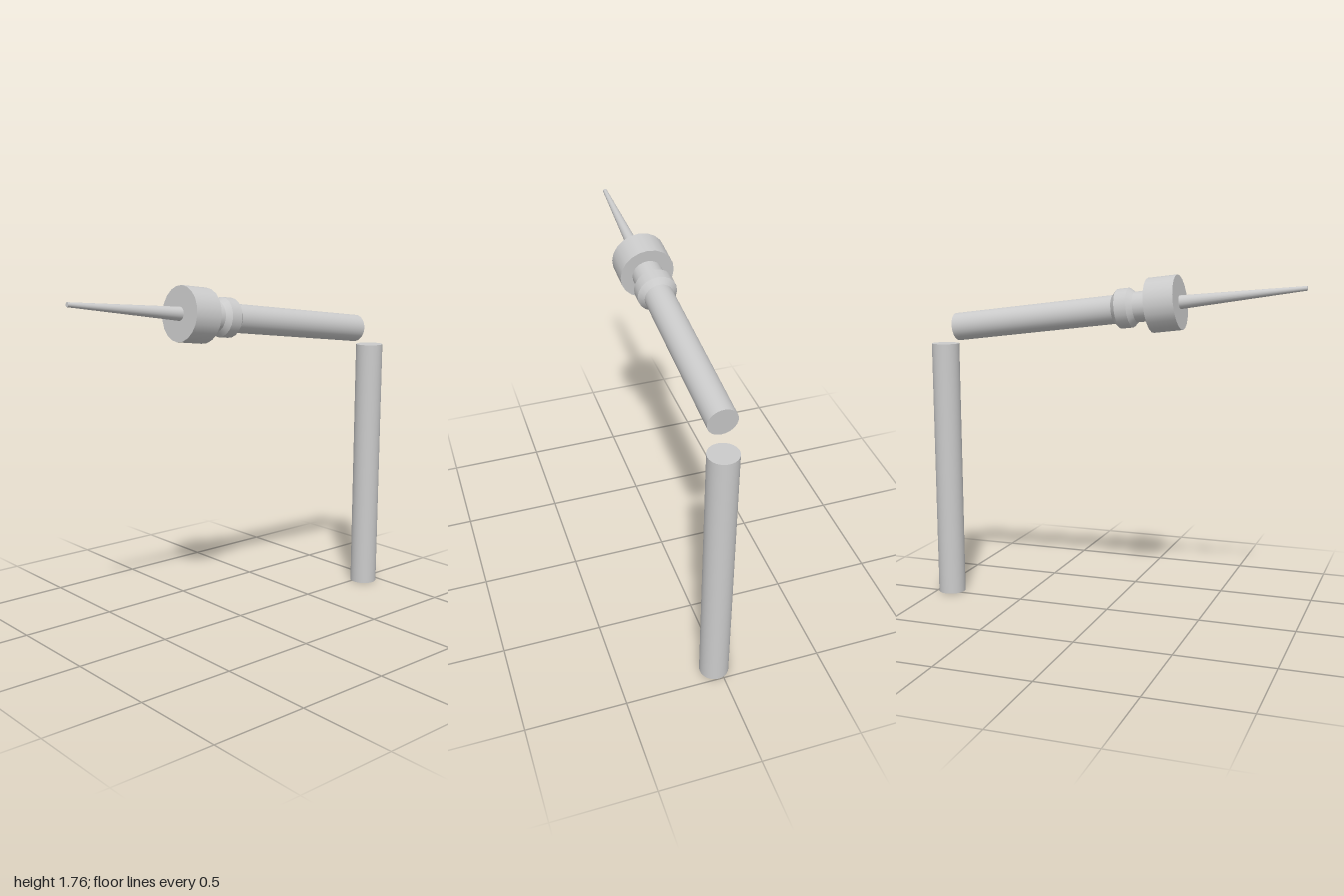
import * as THREE from 'three';

const SIDES = 20;

export function createModel() {
  const model = new THREE.Group();
  const material = new THREE.MeshStandardMaterial({ color: 0xcccccc });

  // Turned section between two distances along the parent's y axis
  function section(parent, name, from, to, rFrom, rTo = rFrom, sides = SIDES, open = false) {
    const geometry = new THREE.CylinderGeometry(rTo, rFrom, to - from, sides, 1, open);
    const mesh = new THREE.Mesh(geometry, material);
    mesh.name = name;
    mesh.position.y = (from + to) / 2;
    parent.add(mesh);
    return mesh;
  }

  // Upright post
  const post = section(model, 'post', 0, 1.38, 0.073, 0.073, 32);
  post.position.x = 0.925;
  post.position.z = 0.026;

  // Tilted rod, with its local y running from the needle tip to the tube end
  const rod = new THREE.Group();
  rod.name = 'rod';
  rod.position.set(-0.999, 1.696, -0.002);
  rod.rotation.z = -Math.PI / 2 - THREE.MathUtils.degToRad(6.95);
  model.add(rod);

  section(rod, 'needle', 0, 0.63, 0.011, 0.034);
  section(rod, 'collar', 0.622, 0.772, 0.136);
  section(rod, 'neck', 0.765, 0.87, 0.076);
  section(rod, 'tube', 0.86, 1.846, 0.072, 0.072, 32);

  // Ring with sloped shoulders
  const ring = new THREE.Group();
  ring.name = 'ring';
  rod.add(ring);
  section(ring, 'lowerShoulder', 0.848, 0.874, 0.076, 0.099, SIDES, true);
  section(ring, 'ringBand', 0.874, 0.936, 0.099, 0.099, SIDES, true);
  section(ring, 'upperShoulder', 0.936, 0.962, 0.099, 0.072, SIDES, true);

  return model;
}
